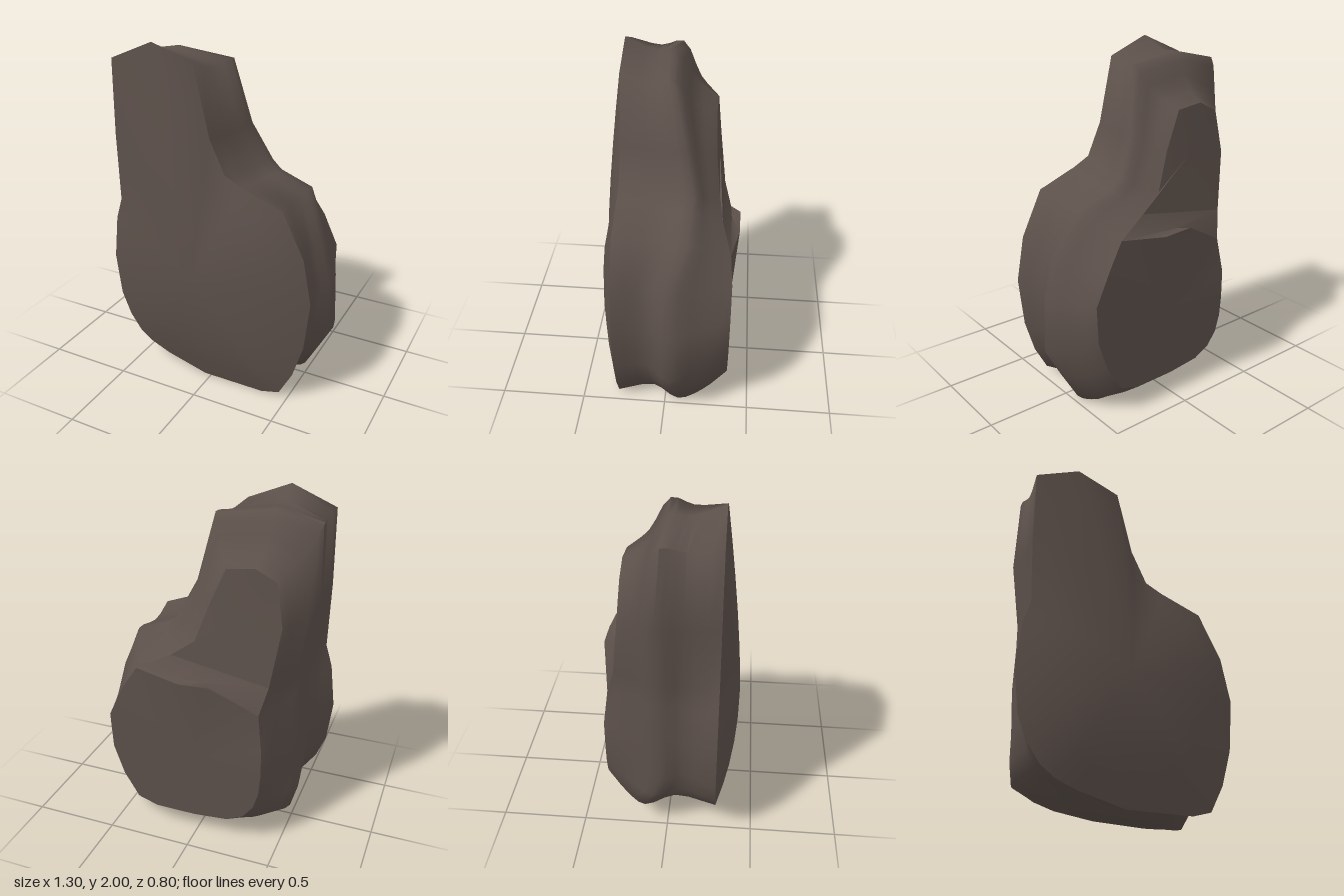
import * as THREE from 'three';
import { toCreasedNormals } from 'three/addons/utils/BufferGeometryUtils.js';

const { lerp, smoothstep } = THREE.MathUtils;
const V = (x, y, z) => new THREE.Vector3(x, y, z);
const points = (list, z) => list.map(p => V(p[0], p[1], p[2] ?? z));

// Outlines run from the top of the neck, down the -x side and up the +x side.
const rim = points([
  [-0.33, 2], [-0.59, 1.89], [-0.595, 1.45], [-0.585, 1.06], [-0.625, 0.93], [-0.655, 0.67],
  [-0.625, 0.42], [-0.57, 0.28], [-0.5, 0.18], [-0.42, 0.12], [-0.3, 0.07], [-0.04, 0],
  [0.34, 0], [0.45, 0.03], [0.53, 0.18], [0.59, 0.38], [0.62, 0.67], [0.57, 0.93],
  [0.44, 1.19], [0.2, 1.28], [0.1, 1.33], [0.01, 1.52], [-0.08, 1.9],
], 0.285);

const middle = points([
  [-0.33, 1.93, 0], [-0.59, 1.88, -0.02], [-0.605, 1.45, -0.05], [-0.56, 1.06], [-0.56, 0.93], [-0.57, 0.67],
  [-0.56, 0.42], [-0.55, 0.28, -0.08], [-0.52, 0.17, -0.13], [-0.42, 0.13, -0.1], [-0.3, 0.09], [-0.04, 0.04],
  [0.34, 0.02, -0.08], [0.47, 0.01, -0.08], [0.56, 0.18], [0.65, 0.35], [0.635, 0.67], [0.57, 0.92],
  [0.44, 1.18, -0.12], [0.25, 1.25, -0.13], [0.19, 1.3, -0.14], [0.08, 1.52, -0.09], [0, 1.89, -0.02],
], -0.04);

const back = points([
  [-0.3, 1.68, -0.24], [-0.42, 1.62, -0.24], [-0.46, 1.38, -0.26], [-0.41, 1.04, -0.3], [-0.37, 0.88, -0.345],
  [-0.4, 0.67], [-0.4, 0.5], [-0.39, 0.38], [-0.36, 0.28], [-0.3, 0.2], [-0.2, 0.15], [0, 0.13],
  [0.25, 0.13], [0.37, 0.17], [0.46, 0.32], [0.52, 0.5], [0.53, 0.72], [0.44, 0.91],
  [0.35, 1.05, -0.355], [0.16, 1.14, -0.3], [0.03, 1.23, -0.275], [-0.05, 1.45, -0.25], [-0.14, 1.66, -0.24],
], -0.37);

// Skin a list of closed rings that share a point count
function loft(rings, crease) {
  const n = rings[0].length;
  const index = [];
  for (let r = 0; r < rings.length - 1; r++) {
    for (let i = 0; i < n; i++) {
      const a = r * n + i, b = r * n + (i + 1) % n;
      index.push(a, a + n, b + n, a, b + n, b);
    }
  }
  const geometry = new THREE.BufferGeometry().setFromPoints(rings.flat());
  geometry.setIndex(index);
  return toCreasedNormals(geometry, crease);
}

// Close a polygon with a fan around its middle
function cap(ring) {
  const centre = ring.reduce((sum, p) => sum.add(p), V(0, 0, 0)).divideScalar(ring.length);
  return loft([ring, ring.map(() => centre)], 0.9);
}

export function createModel() {
  const group = new THREE.Group();
  const material = new THREE.MeshStandardMaterial({ color: 0x5c504a });
  const add = (name, geometry) => {
    const mesh = new THREE.Mesh(geometry, material);
    mesh.name = name;
    group.add(mesh);
  };

  // Gently domed front, falling away sooner towards the neck
  const domeRings = [0, 0.25, 0.45, 0.65, 0.82, 1].map(s => rim.map(p => {
    const power = lerp(2.2, 1.4, smoothstep(p.y, 0.9, 1.8));
    return V(-0.05 + (p.x + 0.05) * s, 0.7 + (p.y - 0.7) * s, 0.285 + 0.113 * (1 - s ** power));
  }));
  add('frontDome', loft(domeRings, 0.7));

  // Side wall: flared rim, waist (deepest around the body), bulge, taper to the back
  const paths = rim.map((p, i) => {
    const neck = smoothstep(p.y, 0.9, 1.5);
    const waist = p.clone().lerp(middle[i], 0.58);
    waist.x = -0.02 + (waist.x + 0.02) * lerp(0.915, 0.975, neck);
    waist.y = 0.8 + (waist.y - 0.8) * lerp(0.94, 0.975, neck);
    // The step behind the neck and the underside both sag a little
    const shoulder = middle[i].clone().lerp(back[i], 0.5);
    shoulder.y -= 0.045 * (smoothstep(p.y, 1.3, 1.6) + 1 - smoothstep(p.y, 0.1, 0.4));
    return new THREE.CatmullRomCurve3([p, waist, middle[i], shoulder, back[i]]);
  });
  const wallRings = Array.from({ length: 13 }, (_, k) => paths.map(path => path.getPoint(k / 12)));
  add('sideWall', loft(wallRings, 1.3));

  // Back: large lower face, recessed upper face and the sloping ledge between
  const ridge = [V(0.08, 1.02, -0.4), V(-0.1, 1.03, -0.4)];
  add('lowerBackFace', cap([...back.slice(4, 19), ...ridge]));
  add('upperBackFace', cap([...back.slice(19), ...back.slice(0, 4)]));
  add('backLedge', cap([back[19], back[3], back[4], ridge[1], ridge[0], back[18]]));

  return group;
}
